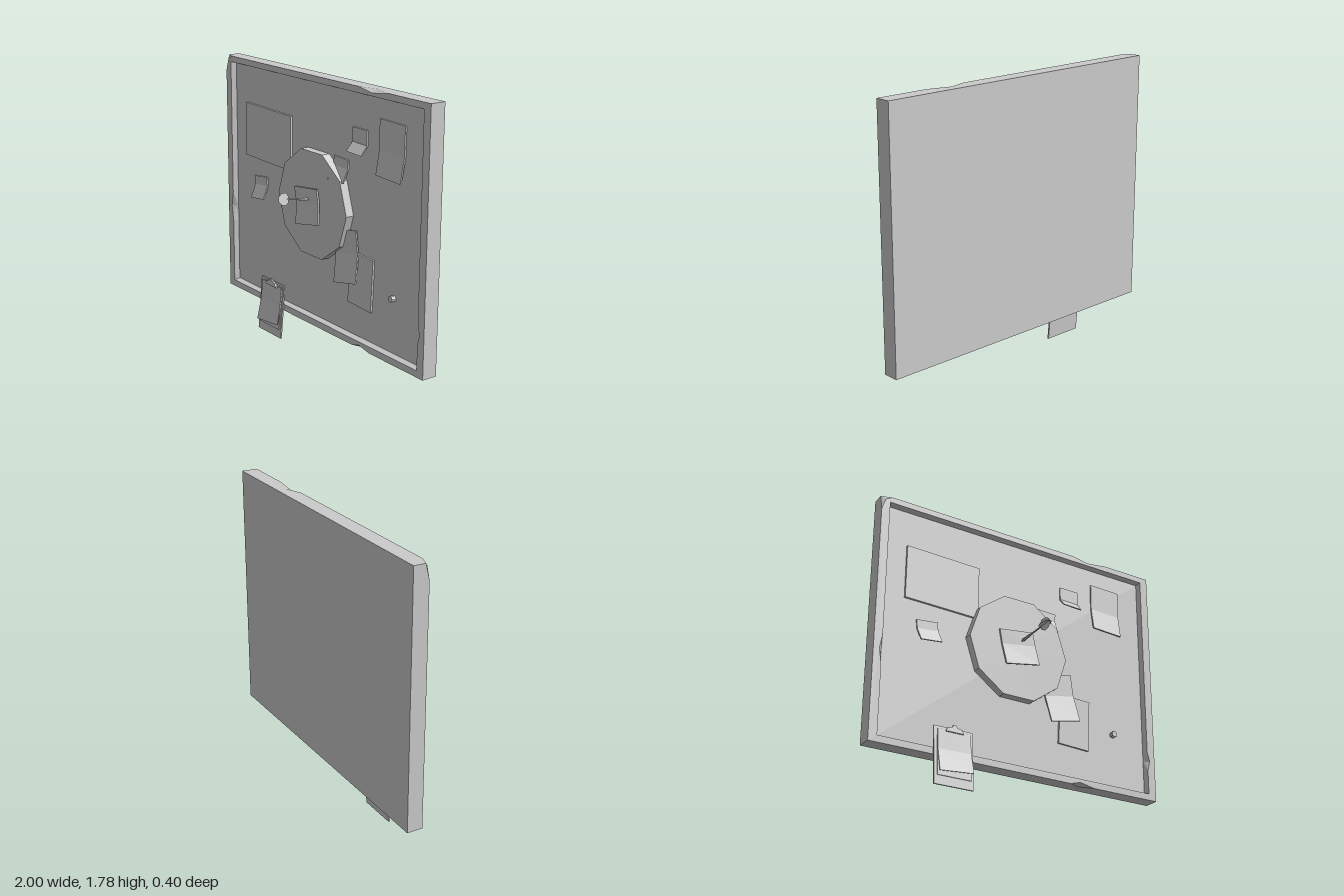
import * as THREE from 'three';

const material = new THREE.MeshStandardMaterial({ color: 0xcccccc, flatShading: true });
const doubleMaterial = new THREE.MeshStandardMaterial({ color: 0xcccccc, flatShading: true, side: THREE.DoubleSide });

function addMesh(parent, name, geometry, mat = material) {
  const mesh = new THREE.Mesh(geometry, mat);
  mesh.name = name;
  parent.add(mesh);
  return mesh;
}

// Flat-shaded geometry from quads, corners counter-clockwise seen from outside
function quadGeometry(quads) {
  const pos = [];
  for (const [a, b, c, d] of quads) pos.push(...a, ...b, ...c, ...a, ...c, ...d);
  const g = new THREE.BufferGeometry();
  g.setAttribute('position', new THREE.Float32BufferAttribute(pos, 3));
  g.computeVertexNormals();
  return g;
}

// Band of quads between two closed loops
function strip(a, b) {
  return a.map((p, i) => {
    const j = (i + 1) % a.length;
    return [p, a[j], b[j], b[i]];
  });
}

// Thin bent sheet: rows run top to bottom, each [left point, right point] on the front
function sheet(parent, name, rows, t = 0.01) {
  const back = ([x, y, z]) => [x, y, z - t];
  const quads = [];
  for (let i = 0; i < rows.length - 1; i++) {
    const [tl, tr] = rows[i], [bl, br] = rows[i + 1];
    quads.push([tl, bl, br, tr], [back(tr), back(br), back(bl), back(tl)]);
    quads.push([back(tl), back(bl), bl, tl], [tr, br, back(br), back(tr)]);
  }
  const [tl, tr] = rows[0], [bl, br] = rows[rows.length - 1];
  quads.push([tl, tr, back(tr), back(tl)], [bl, back(bl), back(br), br]);
  return addMesh(parent, name, quadGeometry(quads));
}

// Sheet from four corners, flat at the top, folded at fraction f, lifting to zBottom
function foldedSheet(parent, name, tl, tr, br, bl, f, zBottom, zTop = -0.125) {
  const mix = (a, b) => [a[0] + (b[0] - a[0]) * f, a[1] + (b[1] - a[1]) * f, zTop];
  return sheet(parent, name, [
    [[...tl, zTop], [...tr, zTop]],
    [mix(tl, bl), mix(tr, br)],
    [[...bl, zBottom], [...br, zBottom]],
  ]);
}

// Framed pin board with chipped edges
function buildBoard(root) {
  const board = new THREE.Group();
  board.name = 'pinBoard';
  root.add(board);
  const front = -0.1, rear = -0.2, floor = -0.135;
  // Outer loop: x, y, then for chips: front x, front y, side z
  const outer = [
    [-1, 0.19], [0.35, 0.19], [0.42, 0.19, 0.42, 0.21, -0.13], [0.52, 0.19], [1, 0.19],
    [1, 1.78], [0.66, 1.78], [0.51, 1.78, 0.51, 1.76, -0.14], [0.39, 1.78],
    [-0.93, 1.78], [-1, 1.78, -0.975, 1.755, -0.125], [-1, 1.68],
  ];
  const backLoop = outer.map(([x, y]) => [x, y, rear]);
  const sideLoop = outer.map(([x, y, , , z = front]) => [x, y, z]);
  const frontLoop = outer.map(([x, y, fx = x, fy = y]) => [fx, fy, front]);
  // Inner loop with chips on both uprights
  const inner = [
    [-0.945, 0.232], [0.945, 0.232], [0.945, 0.39], [0.945, 0.45, 0.962, 0.45, -0.12], [0.945, 0.51],
    [0.945, 1.742], [-0.945, 1.742], [-0.945, 0.86], [-0.945, 0.76, -0.962, 0.76, -0.12], [-0.945, 0.66],
  ];
  const lipLoop = inner.map(([x, y, fx = x, fy = y]) => [fx, fy, front]);
  const wallLoop = inner.map(([x, y, , , z = front]) => [x, y, z]);
  const floorLoop = inner.map(([x, y]) => [
    Math.abs(x) > 0.94 ? Math.sign(x) * 0.935 : x,
    Math.min(Math.max(y, 0.243), 1.731), floor]);

  addMesh(board, 'frameSides', quadGeometry([
    ...strip(backLoop, sideLoop), ...strip(sideLoop, frontLoop),
    ...strip(lipLoop, wallLoop), ...strip(wallLoop, floorLoop),
    [[1, 0.19, rear], [-1, 0.19, rear], [-1, 1.78, rear], [1, 1.78, rear]],
  ]));
  const toVec = ([x, y]) => new THREE.Vector2(x, y);
  const face = new THREE.Shape(frontLoop.map(toVec));
  face.holes.push(new THREE.Path(lipLoop.map(toVec)));
  addMesh(board, 'frameFront', new THREE.ShapeGeometry(face)).position.z = front;
  const panel = addMesh(board, 'corkPanel', new THREE.PlaneGeometry(1.87, 1.488));
  panel.position.set(0, 0.987, floor);
}

// Sheets and notes pinned on the board
function buildPapers(root) {
  const papers = new THREE.Group();
  papers.name = 'papers';
  root.add(papers);
  sheet(papers, 'poster', [
    [[-0.805, 1.495, -0.12], [-0.305, 1.485, -0.12]],
    [[-0.805, 1.145, -0.12], [-0.305, 1.135, -0.12]],
  ], 0.015);
  sheet(papers, 'lowerSheet', [
    [[0.295, 0.775, -0.122], [0.515, 0.765, -0.122]],
    [[0.28, 0.445, -0.122], [0.5, 0.435, -0.122]],
  ], 0.013);
  foldedSheet(papers, 'tallSheet', [0.55, 1.62], [0.77, 1.615], [0.765, 1.285], [0.55, 1.295], 0.55, -0.1);
  foldedSheet(papers, 'tiltedSheet', [0.155, 0.87], [0.365, 0.915], [0.41, 0.6], [0.2, 0.555], 0.45, -0.075, -0.11);
  foldedSheet(papers, 'rightNote', [0.305, 1.53], [0.44, 1.53], [0.44, 1.385], [0.305, 1.39], 0.62, -0.08);
  foldedSheet(papers, 'leftNote', [-0.72, 1.02], [-0.58, 1.035], [-0.565, 0.895], [-0.705, 0.88], 0.4, -0.085);
  foldedSheet(papers, 'middleNote', [0.13, 1.325], [0.265, 1.32], [0.26, 1.18], [0.125, 1.185], 0.4, -0.09);
  const pin = addMesh(papers, 'pushPin', new THREE.CylinderGeometry(0.02, 0.02, 0.03, 7));
  pin.rotation.x = Math.PI / 2;
  pin.position.set(0.695, 0.585, -0.12);
}

// Ten-sided target with a pinned sheet and a dart
function buildTarget(root) {
  const target = new THREE.Group();
  target.name = 'target';
  root.add(target);
  const disc = addMesh(target, 'targetDisc', new THREE.CylinderGeometry(0.347, 0.347, 0.055, 10));
  disc.geometry.rotateY(Math.PI / 2);
  disc.rotation.x = Math.PI / 2;
  disc.position.set(-0.035, 0.99, -0.108);
  const hole = addMesh(target, 'targetPin', new THREE.CylinderGeometry(0.007, 0.007, 0.006, 6));
  hole.rotation.x = Math.PI / 2;
  hole.position.set(0.13, 1.19, -0.08);
  sheet(target, 'targetSheet', [
    [[-0.185, 1.075, -0.06], [-0.07, 1.1, -0.072], [0.05, 1.105, -0.055]],
    [[-0.166, 0.98, -0.062], [-0.05, 1, -0.066], [0.068, 1.015, -0.055]],
    [[-0.145, 0.845, -0.04], [-0.03, 0.868, -0.042], [0.09, 0.89, -0.04]],
  ].map((r) => [r[0], r[2]]), 0.012);

  // Dart, built along +y from the tip and then aimed
  const dart = new THREE.Group();
  dart.name = 'dart';
  target.add(dart);
  const profile = [[0, 0], [0.003, 0.03], [0.009, 0.045], [0.009, 0.1], [0.005, 0.12], [0.005, 0.21], [0, 0.22]];
  addMesh(dart, 'dartBody', new THREE.LatheGeometry(profile.map((p) => new THREE.Vector2(...p)), 6));
  const vane = new THREE.Shape([[0, 0.205], [0.02, 0.205], [0.039, 0.23], [0.035, 0.262], [0.015, 0.288], [0, 0.288]]
    .map((p) => new THREE.Vector2(...p)));
  for (let i = 0; i < 4; i++) {
    addMesh(dart, 'dartFlight', new THREE.ShapeGeometry(vane), doubleMaterial).rotation.y = i * Math.PI / 2 + 0.35;
  }
  const tip = new THREE.Vector3(-0.035, 1.022, -0.085);
  const aim = new THREE.Vector3(0.012, 1.078, 0.2).sub(tip).normalize();
  dart.position.copy(tip);
  dart.quaternion.setFromUnitVectors(new THREE.Vector3(0, 1, 0), aim);
}

// Clipboard hanging over the lower frame
function buildClipboard(root) {
  const clip = new THREE.Group();
  clip.name = 'clipboard';
  root.add(clip);
  sheet(clip, 'clipboardBack', [
    [[-0.6, 0.365, -0.092], [-0.345, 0.365, -0.092]],
    [[-0.6, 0.004, -0.062], [-0.345, 0.004, -0.062]],
  ]);
  sheet(clip, 'clipboardLowerSheet', [
    [[-0.58, 0.35, -0.086], [-0.36, 0.35, -0.086]],
    [[-0.58, 0.06, -0.06], [-0.36, 0.06, -0.06]],
  ], 0.006);
  sheet(clip, 'clipboardTopSheet', [
    [[-0.578, 0.345, -0.081], [-0.362, 0.345, -0.081]],
    [[-0.578, 0.22, -0.07], [-0.36, 0.225, -0.07]],
    [[-0.578, 0.08, -0.037], [-0.355, 0.1, -0.043]],
  ], 0.005);
  const outline = new THREE.Shape([[-0.06, -0.025], [0.06, -0.025], [0.045, 0], [0.015, 0.006], [0.01, 0.022],
    [-0.01, 0.022], [-0.015, 0.006], [-0.045, 0]].map((p) => new THREE.Vector2(...p)));
  const clamp = addMesh(clip, 'clipboardClamp',
    new THREE.ExtrudeGeometry(outline, { depth: 0.014, bevelEnabled: false }));
  clamp.position.set(-0.47, 0.36, -0.087);
  clamp.rotation.x = -0.08;
}

export function createModel() {
  const root = new THREE.Group();
  root.name = 'noticeBoard';
  buildBoard(root);
  buildPapers(root);
  buildTarget(root);
  buildClipboard(root);
  return root;
}
